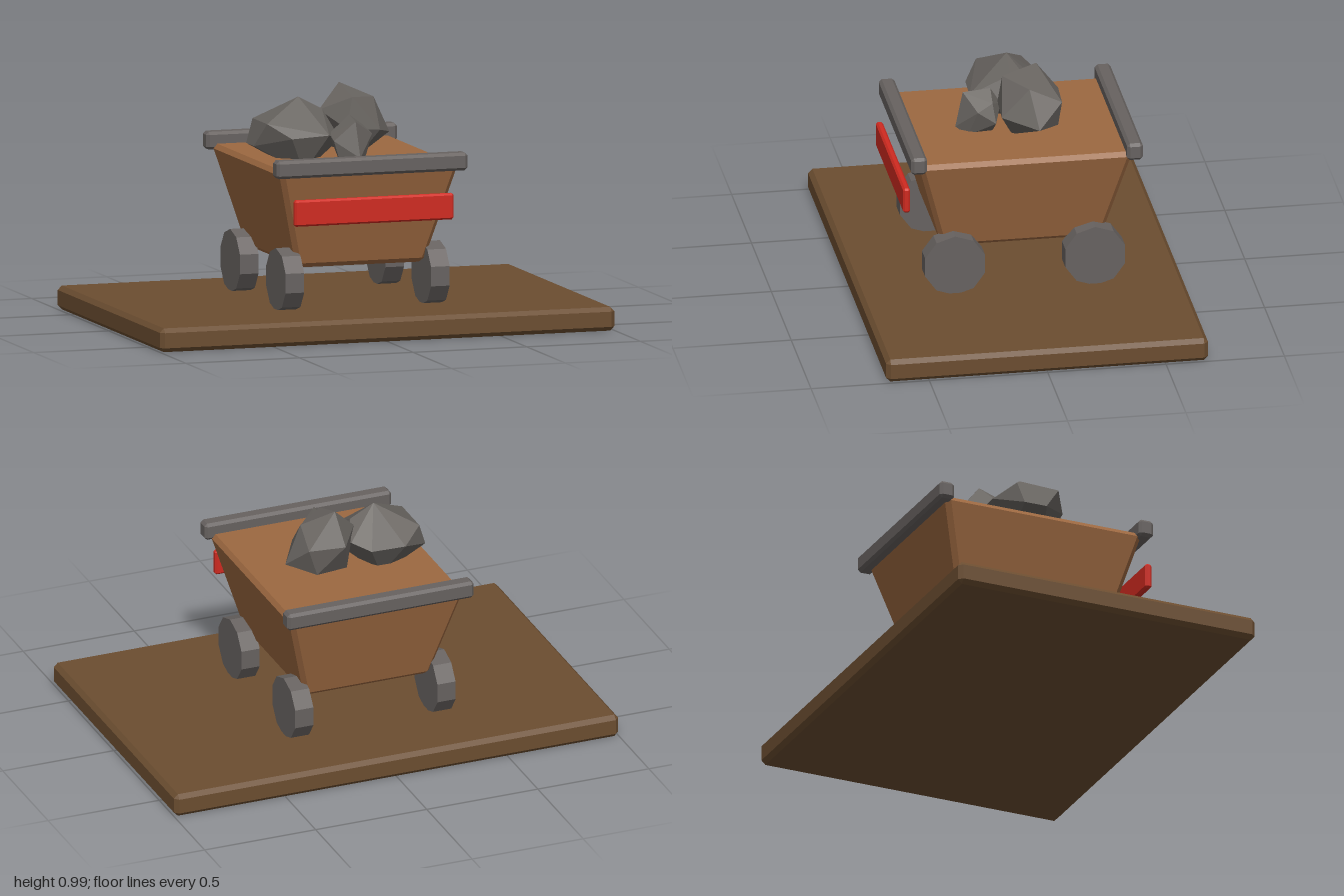
import * as THREE from 'three';
import { ConvexGeometry } from 'three/addons/geometries/ConvexGeometry.js';

const material = (name, color) => {
  const m = new THREE.MeshStandardMaterial({ color, flatShading: true });
  m.name = name;
  return m;
};

// Box with chamfered edges; taperX / taperZ scale the width and depth at the bottom
function chamferBox(w, h, d, c, taperX = 1, taperZ = 1) {
  const points = [];
  for (const sx of [-1, 1]) for (const sy of [-1, 1]) for (const sz of [-1, 1]) {
    for (const [ix, iy, iz] of [[0, c, c], [c, 0, c], [c, c, 0]]) {
      const y = sy * (h / 2 - iy);
      const t = y / h + 0.5;
      points.push(new THREE.Vector3(
        sx * ((w / 2) * THREE.MathUtils.lerp(taperX, 1, t) - ix),
        y,
        sz * ((d / 2) * THREE.MathUtils.lerp(taperZ, 1, t) - iz)));
    }
  }
  return new ConvexGeometry(points);
}

export function createModel() {
  const group = new THREE.Group();
  group.name = 'oreCart';
  const darkWood = material('dark wood', 0x6b4d30);
  const wood = material('cart wood', 0x9c6840);
  const metal = material('iron', 0x676260);
  const stone = material('stone', 0x67635f);
  const red = material('red paint', 0xd02a20);

  const add = (name, geometry, mat, x = 0, y = 0, z = 0) => {
    const mesh = new THREE.Mesh(geometry, mat);
    mesh.name = name;
    mesh.position.set(x, y, z);
    group.add(mesh);
    return mesh;
  };

  // Base board
  add('base', chamferBox(2, 0.1, 1.36, 0.018), darkWood, 0, 0.05, 0);

  // Tapered tub, filled to the brim
  add('tub', chamferBox(0.79, 0.425, 0.905, 0.02, 0.71, 0.745), wood, 0, 0.4875, -0.012);

  // Rim bars across both ends
  add('frontRim', chamferBox(0.84, 0.075, 0.067, 0.012), metal, 0, 0.712, 0.444);
  add('backRim', chamferBox(0.84, 0.075, 0.067, 0.012), metal, 0, 0.712, -0.468);

  // Red board ahead of the front wall
  add('frontBoard', chamferBox(0.7, 0.11, 0.03, 0.008), red, 0, 0.53, 0.486);

  // Ten-sided wheels, flat side down
  const wheel = new THREE.CylinderGeometry(0.133, 0.133, 0.082, 10);
  wheel.rotateY(Math.PI / 2);
  wheel.rotateZ(Math.PI / 2);
  for (const [side, x] of [['left', 0.32], ['right', -0.32]]) {
    add(side + 'FrontWheel', wheel, metal, x, 0.225, 0.284);
    add(side + 'BackWheel', wheel, metal, x, 0.225, -0.308);
  }

  // Rough rocks as convex hulls
  const rocks = {
    largeRock: [
      [-0.16, 0.945, -0.02], [-0.33, 0.85, -0.11], [-0.33, 0.85, 0.08],
      [-0.365, 0.75, -0.09], [-0.365, 0.75, 0.01], [-0.24, 0.8, -0.18],
      [-0.09, 0.8, -0.175], [-0.24, 0.79, 0.14], [-0.08, 0.8, 0.15],
      [-0.055, 0.89, -0.02], [-0.02, 0.83, -0.12], [0, 0.77, 0.05],
      [-0.17, 0.64, -0.08], [-0.17, 0.64, 0.08]],
    tallRock: [
      [0.05, 0.985, -0.11], [0.185, 0.925, -0.06], [0.04, 0.86, -0.205],
      [0.2, 0.865, -0.195], [0.265, 0.77, -0.09], [0.175, 0.8, 0.055],
      [0.06, 0.94, 0.035], [-0.055, 0.88, -0.06], [0.03, 0.81, 0.05],
      [0.16, 0.745, -0.185], [0.1, 0.69, 0], [0, 0.72, -0.12]],
    smallRock: [
      [0.03, 0.875, 0.08], [0.02, 0.86, 0.195], [0.09, 0.83, 0.08],
      [0.11, 0.8, 0.145], [0.03, 0.71, 0.228], [-0.07, 0.78, 0.18],
      [-0.065, 0.8, 0.1], [0.12, 0.75, 0.07], [0.02, 0.8, 0.035],
      [0.06, 0.68, 0.18], [-0.04, 0.68, 0.18], [0.05, 0.68, 0.08]],
  };
  for (const [name, points] of Object.entries(rocks)) {
    add(name, new ConvexGeometry(points.map((p) => new THREE.Vector3(...p))), stone);
  }

  return group;
}
